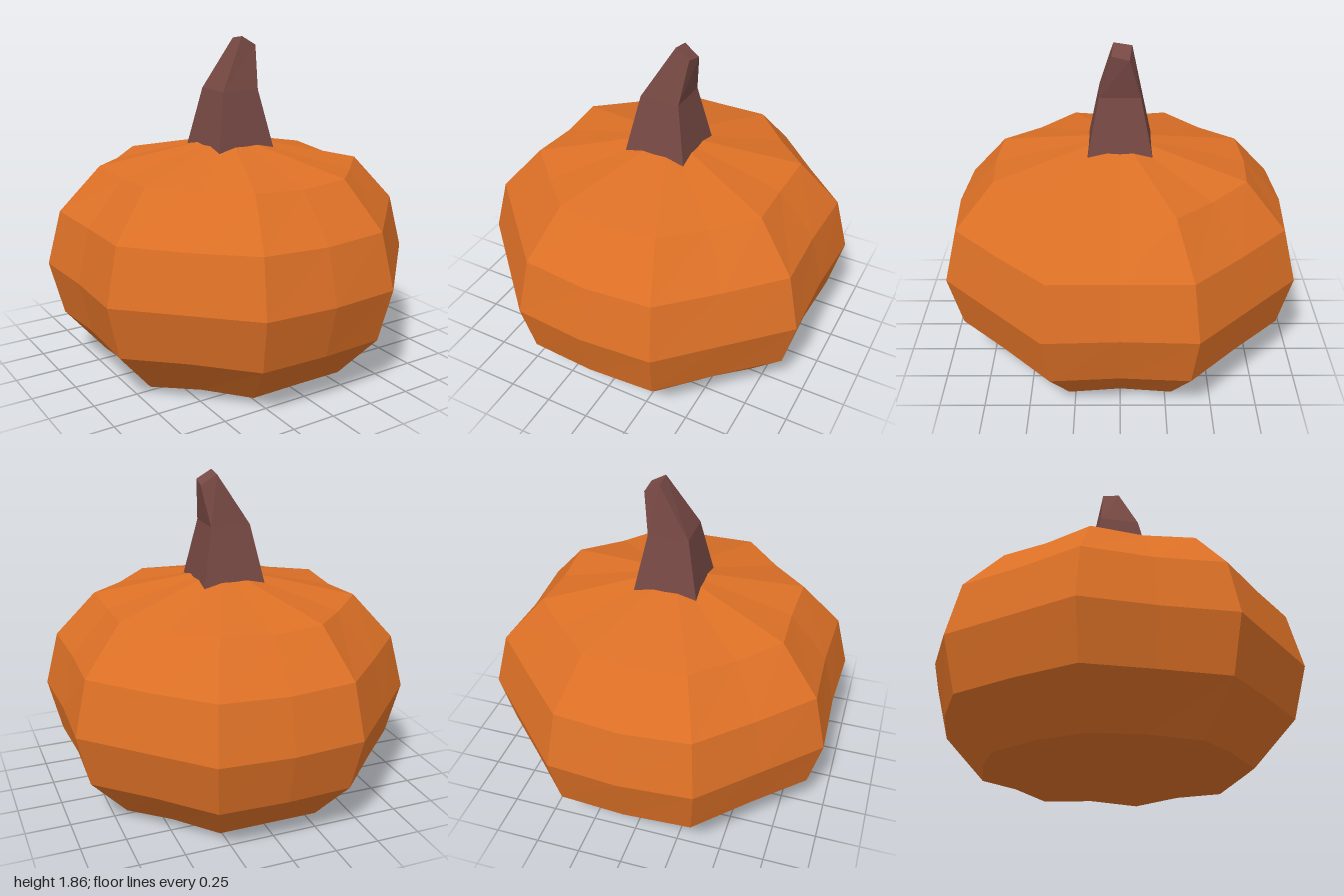
import * as THREE from 'three';

// Skin closed rings of [x, y, z] points (bottom to top, turning from +x to +z), with an apex at each end
function loft(rings, bottom, top) {
  const n = rings[0].length;
  const pos = [bottom, ...rings.flat(), top].flat();
  const last = rings.length * n + 1;
  const at = (j, i) => 1 + j * n + (i % n);
  const index = [];
  for (let i = 0; i < n; i++) {
    index.push(0, at(0, i), at(0, i + 1));
    for (let j = 0; j < rings.length - 1; j++) {
      const a = at(j, i + 1), b = at(j, i), c = at(j + 1, i), d = at(j + 1, i + 1);
      index.push(a, b, c, a, c, d);
    }
    index.push(last, at(rings.length - 1, i + 1), at(rings.length - 1, i));
  }
  const indexed = new THREE.BufferGeometry();
  indexed.setAttribute('position', new THREE.Float32BufferAttribute(pos, 3));
  indexed.setIndex(index);
  const geometry = indexed.toNonIndexed();
  geometry.computeVertexNormals();
  return geometry;
}

export function createModel() {
  const group = new THREE.Group();
  const orange = new THREE.MeshStandardMaterial({ color: 0xdc7026, flatShading: true });
  orange.name = 'pumpkin orange';
  const brown = new THREE.MeshStandardMaterial({ color: 0x764843, flatShading: true });
  brown.name = 'stem brown';

  // Widest outline of the body: one quarter mirrored to sixteen points
  const quarter = [[0.955, 0], [0.97, 0.4], [0.685, 0.685], [0.4, 0.97], [0, 1]];
  const half = [...quarter, ...quarter.slice(0, 4).reverse().map(([x, z]) => [-x, z])];
  const outline = [...half, ...half.slice(1, 8).reverse().map(([x, z]) => [x, -z])];

  // Each level: outline scale, height at the corners, height at the grooves between them
  const levels = [
    [0.37, 0, 0.008], [0.706, 0.04, 0.055], [0.926, 0.295, 0.303], [1, 0.595, 0.595],
    [0.926, 0.9, 0.892], [0.706, 1.152, 1.137],
  ];
  const bodyRings = levels.map(([s, yCorner, yGroove]) =>
    outline.map(([x, z], i) => [x * s, i % 2 ? yCorner : yGroove, z * s]));
  const body = new THREE.Mesh(loft(bodyRings, [0, 0.02, 0], [0, 1.31, 0]), orange);
  body.name = 'pumpkinBody';
  group.add(body);

  // Four-sided stem, bent to one side with a slanted cut
  const square = (r, y) => [[r, y, -r], [r, y, r], [-r, y, r], [-r, y, -r]];
  const cut = [[0.15, 1.79, -0.05], [0.14, 1.81, 0.045], [0.057, 1.86, 0.035], [0.06, 1.845, -0.065]];
  const stem = new THREE.Mesh(
    loft([square(0.18, 1.235), square(0.113, 1.57), cut], [0, 1.235, 0], [0.102, 1.826, -0.009]), brown);
  stem.name = 'stem';
  group.add(stem);

  return group;
}
